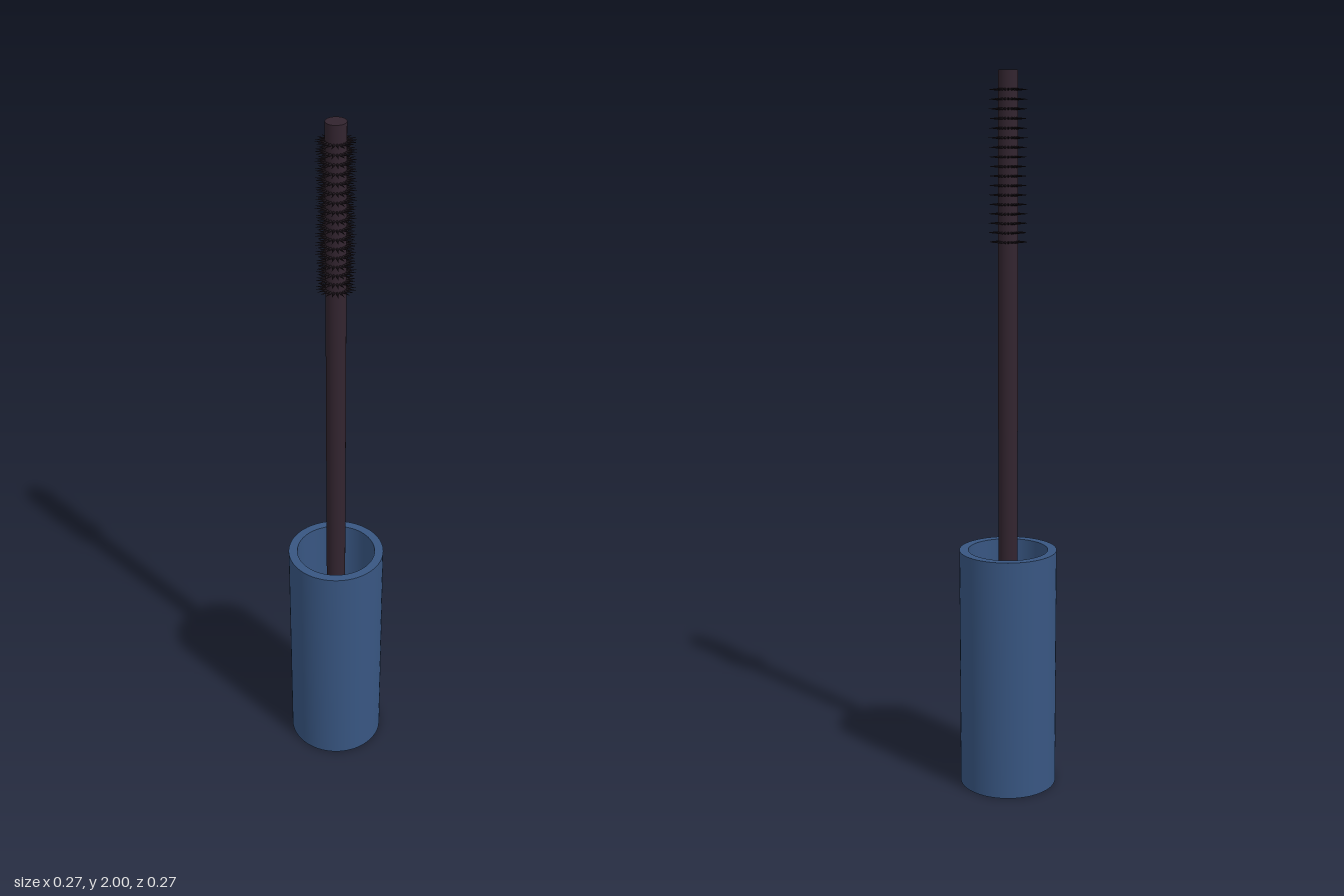
import * as THREE from 'three';
import { toCreasedNormals, mergeGeometries } from 'three/addons/utils/BufferGeometryUtils.js';

const blue = new THREE.MeshStandardMaterial({ color: 0x385682 });
blue.name = 'cap blue';
const plum = new THREE.MeshStandardMaterial({ color: 0x32242f });
plum.name = 'wand plum black';
const black = new THREE.MeshStandardMaterial({ color: 0x1e171d });
black.name = 'bristle black';

const CAP_RADIUS = 0.137, CAP_HEIGHT = 0.69, BORE_RADIUS = 0.112, FLOOR = 0.03;
const WAND_RADIUS = 0.027, TOP = 2;
const ROWS = 17, PER_ROW = 20, FIRST_ROW = 1.55, LAST_ROW = 1.95, REACH = 0.053;

function addPart(group, name, geometry, material) {
  const mesh = new THREE.Mesh(geometry, material);
  mesh.name = name;
  group.add(mesh);
  return mesh;
}

// Hollow cup: base, outer wall, rim, bore and floor in one profile
function capGeometry() {
  const profile = [
    [0, 0], [CAP_RADIUS, 0], [CAP_RADIUS, CAP_HEIGHT],
    [BORE_RADIUS, CAP_HEIGHT], [BORE_RADIUS, FLOOR], [0, FLOOR],
  ].map(([x, y]) => new THREE.Vector2(x, y));
  return toCreasedNormals(new THREE.LatheGeometry(profile, 64), 0.6);
}

// Rings of fine tapered spikes pointing straight out from the wand
function bristleGeometry() {
  const inner = WAND_RADIUS - 0.003;
  const spike = new THREE.ConeGeometry(0.004, REACH - inner, 6);
  spike.rotateZ(-Math.PI / 2);
  spike.translate((REACH + inner) / 2, 0, 0);
  const spikes = [];
  for (let row = 0; row < ROWS; row++) {
    const y = THREE.MathUtils.lerp(FIRST_ROW, LAST_ROW, row / (ROWS - 1));
    for (let i = 0; i < PER_ROW; i++) {
      spikes.push(spike.clone().rotateY((i / PER_ROW) * Math.PI * 2).translate(0, y, 0));
    }
  }
  return mergeGeometries(spikes);
}

export function createModel() {
  const model = new THREE.Group();
  model.name = 'mascaraWand';

  addPart(model, 'cap', capGeometry(), blue);

  // Wand rises from the floor of the cap
  const length = TOP - FLOOR;
  const wand = addPart(model, 'wand',
    new THREE.CylinderGeometry(WAND_RADIUS, WAND_RADIUS, length, 32), plum);
  wand.position.y = FLOOR + length / 2;

  addPart(model, 'bristles', bristleGeometry(), black);
  return model;
}
